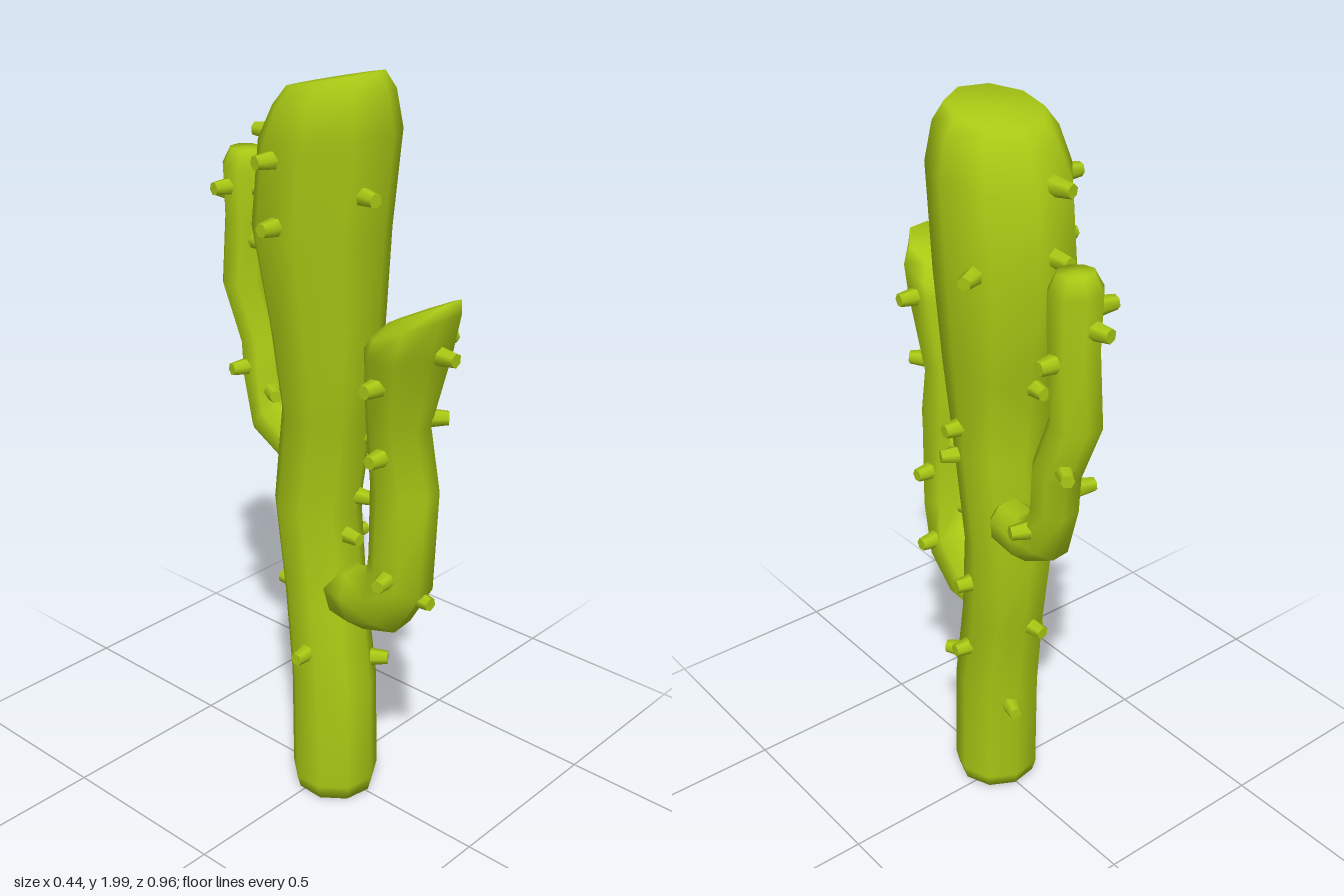
import * as THREE from 'three';

const material = new THREE.MeshStandardMaterial({ color: 0xa8c814 });
const rad = THREE.MathUtils.degToRad;

// Closed skin over rings [x, y, z, radiusX, radiusZ, pitch in degrees about x]
function limb(name, rings, sides, twist) {
  const pos = [], index = [];
  for (const [x, y, z, ru, rv, pitch] of rings) {
    const p = rad(pitch);
    for (let i = 0; i < sides; i++) {
      const a = (i / sides) * Math.PI * 2 + twist;
      const v = rv * Math.sin(a);
      pos.push(x + ru * Math.cos(a), y - v * Math.sin(p), z + v * Math.cos(p));
    }
  }
  const last = (rings.length - 1) * sides;
  pos.push(...rings[0].slice(0, 3), ...rings[rings.length - 1].slice(0, 3));
  const bottom = last + sides, top = bottom + 1;
  for (let i = 0; i < sides; i++) {
    const j = (i + 1) % sides;
    for (let r = 0; r < last; r += sides) {
      index.push(r + i, r + sides + i, r + j, r + j, r + sides + i, r + sides + j);
    }
    index.push(bottom, i, j, top, last + j, last + i);
  }
  const geo = new THREE.BufferGeometry();
  geo.setAttribute('position', new THREE.Float32BufferAttribute(pos, 3));
  geo.setIndex(index);
  geo.computeVertexNormals();
  const mesh = new THREE.Mesh(geo, material);
  mesh.name = name;
  return mesh;
}

// Blunt spines standing out of a limb at [height, angle]; 0 is +x, 90 is +z
const spineGeometry = new THREE.CylinderGeometry(0.018, 0.026, 0.06, 6);
function spines(name, rings, list) {
  const group = new THREE.Group();
  group.name = name;
  for (const [y, angle] of list) {
    let k = 0;
    while (k < rings.length - 2 && rings[k + 1][1] < y) k++;
    const a = rings[k], b = rings[k + 1];
    const t = THREE.MathUtils.clamp((y - a[1]) / (b[1] - a[1]), 0, 1);
    const [x, , z, ru, rv] = a.map((v, i) => v + (b[i] - v) * t);
    const c = Math.cos(rad(angle)), s = Math.sin(rad(angle));
    const spine = new THREE.Mesh(spineGeometry, material);
    spine.name = 'spine';
    spine.position.set(x + c * (ru + 0.008), y, z + s * (rv + 0.008));
    spine.quaternion.setFromUnitVectors(new THREE.Vector3(0, 1, 0), new THREE.Vector3(c, 0, s));
    group.add(spine);
  }
  return group;
}

// Trunk: slim base, slight bend, swollen head with a sloping top
const trunk = [
  [-0.01, 0.01, 0.025, 0.11, 0.11, 2],
  [-0.01, 0.05, 0.025, 0.12, 0.12, 0],
  [-0.012, 0.35, 0.022, 0.118, 0.118, 0],
  [0.0, 0.6, -0.02, 0.11, 0.115, 0],
  [0.012, 0.85, -0.06, 0.118, 0.118, 0],
  [0.01, 1.12, -0.022, 0.122, 0.122, 0],
  [0.0, 1.35, -0.015, 0.15, 0.148, 0],
  [0.005, 1.6, -0.04, 0.178, 0.178, 0],
  [-0.008, 1.84, 0.0, 0.178, 0.178, -6],
  [-0.008, 1.93, 0.012, 0.153, 0.15, -10],
  [-0.008, 1.975, 0.017, 0.12, 0.12, -12],
];

// Front arm: leaves the trunk forwards, turns up, ends in a slanted tip
const frontArm = [
  [0.0, 0.63, 0.04, 0.08, 0.08, 80],
  [-0.01, 0.63, 0.12, 0.085, 0.085, 72],
  [-0.04, 0.68, 0.235, 0.09, 0.088, 58],
  [-0.06, 0.79, 0.29, 0.082, 0.095, 28],
  [-0.068, 1.03, 0.303, 0.076, 0.092, 0],
  [-0.07, 1.2, 0.28, 0.084, 0.08, 4],
  [-0.1, 1.4, 0.33, 0.122, 0.098, 0],
  [-0.1, 1.465, 0.35, 0.118, 0.11, -22],
  [-0.095, 1.505, 0.372, 0.08, 0.095, -25],
];

// Back arm: thinner and higher, turns up behind the trunk
const backArm = [
  [0.08, 0.97, -0.12, 0.045, 0.045, -90],
  [0.08, 0.97, -0.14, 0.062, 0.062, -90],
  [0.082, 0.965, -0.22, 0.065, 0.066, -80],
  [0.085, 1.01, -0.3, 0.065, 0.066, -48],
  [0.095, 1.12, -0.334, 0.065, 0.06, -12],
  [0.1, 1.22, -0.345, 0.066, 0.06, -12],
  [0.095, 1.37, -0.403, 0.066, 0.064, -5],
  [0.095, 1.55, -0.388, 0.066, 0.062, 3],
  [0.1, 1.69, -0.395, 0.07, 0.063, 3],
  [0.1, 1.735, -0.393, 0.045, 0.044, 3],
];

export function createModel() {
  const model = new THREE.Group();
  model.name = 'cactus';
  model.add(
    limb('trunk', trunk, 9, 0),
    limb('frontArm', frontArm, 8, 0.3),
    limb('backArm', backArm, 8, 0.3),
    spines('trunkSpines', trunk, [
      [0.31, -70], [0.41, 55], [0.46, 175], [0.5, 5], [0.59, -95], [0.73, 10], [0.79, 95],
      [0.89, 75], [1.07, 72], [1.1, 25], [1.2, 5], [1.33, -85], [1.64, -25], [1.64, 180],
      [1.67, -95], [1.72, 105], [1.8, 190], [1.83, -100],
    ]),
    spines('frontArmSpines', frontArm, [
      [0.7, 0], [0.73, 95], [0.8, 170], [0.89, 0], [1.13, 180], [1.21, 50],
      [1.33, 180], [1.35, -70], [1.4, 5], [1.41, 90],
    ]),
    spines('backArmSpines', backArm, [
      [1.04, 20], [1.09, 120], [1.15, 195], [1.25, -60], [1.5, 110], [1.53, 0],
      [1.61, -100], [1.64, 190],
    ]),
  );
  return model;
}
